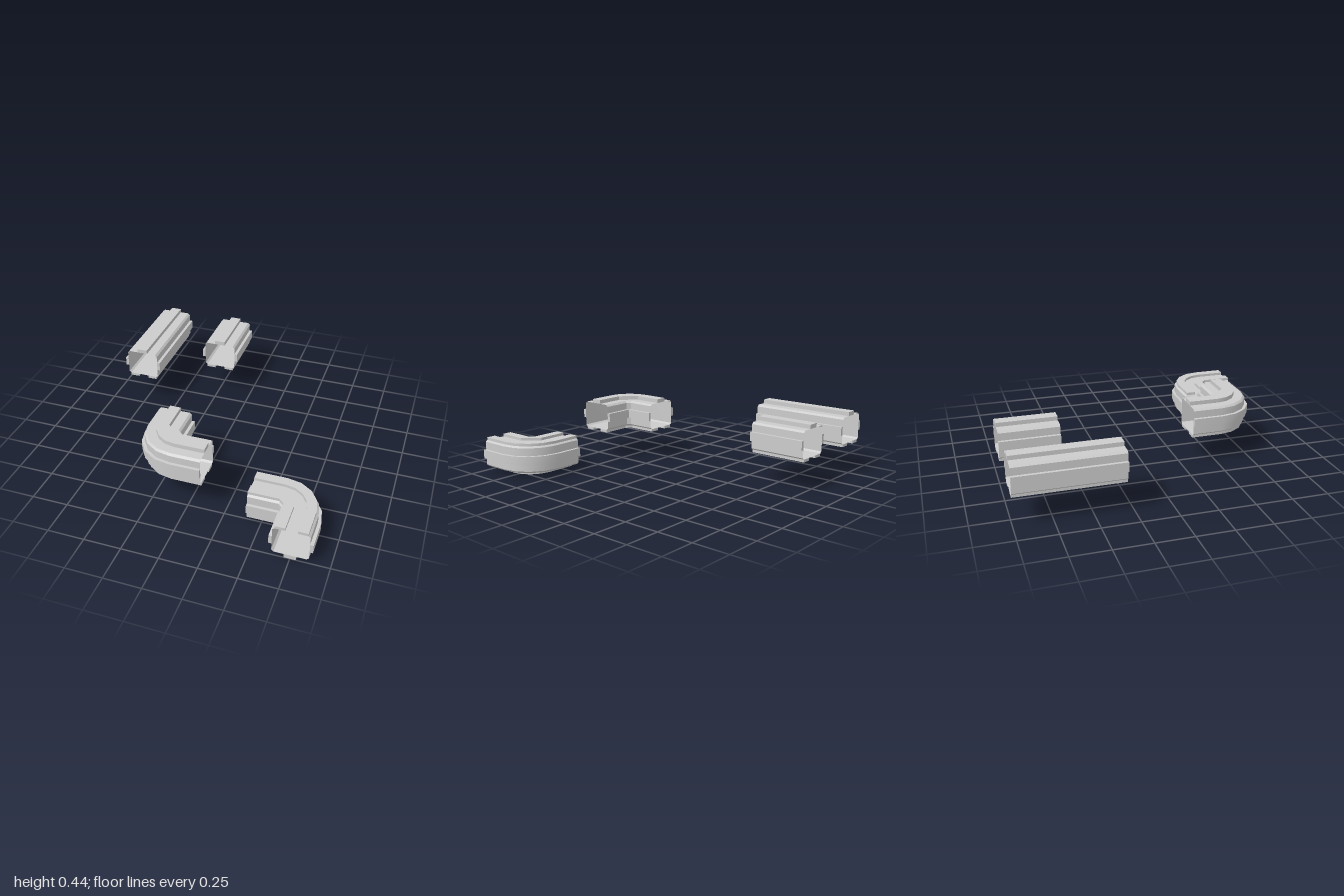
import * as THREE from 'three';
import { toCreasedNormals } from 'three/addons/utils/BufferGeometryUtils.js';

const HEIGHT = 0.238; // overall section height
const BEND = 0.139;   // centre-line radius of an elbow
const LEG = 0.204;    // straight length on each side of a bend
const STEPS = 4;      // segments in a bend

const material = new THREE.MeshStandardMaterial({ color: 0xcccccc, side: THREE.DoubleSide });

// Chamfered hollow shell, counter-clockwise in (u, v)
const SHELL = [
  [-0.103, 0.019], [0.103, 0.019], [0.117, 0.03], [0.117, 0.197],
  [0.103, 0.21], [-0.103, 0.21], [-0.117, 0.197], [-0.117, 0.03],
];

// Ribs: each starts and ends on the shell wall, its base left open
const RIBS = {
  topRib: [[0.038, 0.21], [0.038, HEIGHT], [-0.038, HEIGHT], [-0.038, 0.21]],
  outerSideRib: [[0.117, 0.085], [0.138, 0.085], [0.138, 0.147], [0.117, 0.147]],
  innerSideRib: [[-0.117, 0.147], [-0.138, 0.147], [-0.138, 0.085], [-0.117, 0.085]],
  outerBottomRib: [[0.038, 0.019], [0.038, 0], [0.103, 0], [0.103, 0.019]],
  innerBottomRib: [[-0.103, 0.019], [-0.103, 0], [-0.038, 0], [-0.038, 0.019]],
};

// Straight run along z
const straightPath = (length) => [0, length].map((z) => (u, v) => [-u, v, z]);

// Quarter bend around the origin; the inner half is cut by one straight chord
function elbowPath() {
  const path = [(u, v) => [-(BEND + u), v, -LEG]];
  for (let k = 0; k <= STEPS; k++) {
    const t = k / STEPS;
    const a = t * Math.PI / 2;
    path.push((u, v) => {
      const r = BEND + u;
      return u < 0 ? [-r * (1 - t), v, r * t] : [-r * Math.cos(a), v, r * Math.sin(a)];
    });
  }
  path.push((u, v) => [LEG, v, BEND + u]);
  return path;
}

// Carries a section along the path; ribs are open in section but capped at the ends
function sweep(section, path, isRib) {
  const rings = path.map((place) => section.map(([u, v]) => place(u, v)));
  const n = section.length;
  const pos = [];
  const quad = (a, b, c, d) => pos.push(...a, ...b, ...c, ...a, ...c, ...d);
  for (let i = 0; i < rings.length - 1; i++) {
    for (let j = 0; j < (isRib ? n - 1 : n); j++) {
      const k = (j + 1) % n;
      quad(rings[i][j], rings[i + 1][j], rings[i + 1][k], rings[i][k]);
    }
  }
  if (isRib) {
    quad(...rings[0]);
    quad(...[...rings[rings.length - 1]].reverse());
  }
  const geometry = new THREE.BufferGeometry();
  geometry.setAttribute('position', new THREE.Float32BufferAttribute(pos, 3));
  return toCreasedNormals(geometry, 0.5);
}

// One duct: shell plus its five ribs
function duct(name, path, x, y, z) {
  const group = new THREE.Group();
  group.name = name;
  const add = (part, section, isRib) => {
    const mesh = new THREE.Mesh(sweep(section, path, isRib), material);
    mesh.name = part;
    group.add(mesh);
  };
  add('shell', SHELL, false);
  for (const [part, section] of Object.entries(RIBS)) add(part, section, true);
  group.position.set(x, y, z);
  return group;
}

export function createModel() {
  const model = new THREE.Group();
  model.name = 'ductSet';

  // Straight ducts
  model.add(duct('longDuct', straightPath(0.705), -0.755, 0.205, -1));
  model.add(duct('shortDuct', straightPath(0.4), -0.241, 0.205, -1));

  // Upright elbow
  model.add(duct('upperElbow', elbowPath(), -0.103, 0.205, 0.519));

  // Lower elbow, turned upside down about the diagonal
  const lower = duct('lowerElbow', elbowPath(), 0.611, HEIGHT, 0.796);
  lower.quaternion.setFromAxisAngle(new THREE.Vector3(1, 0, 1).normalize(), Math.PI);
  model.add(lower);

  return model;
}
